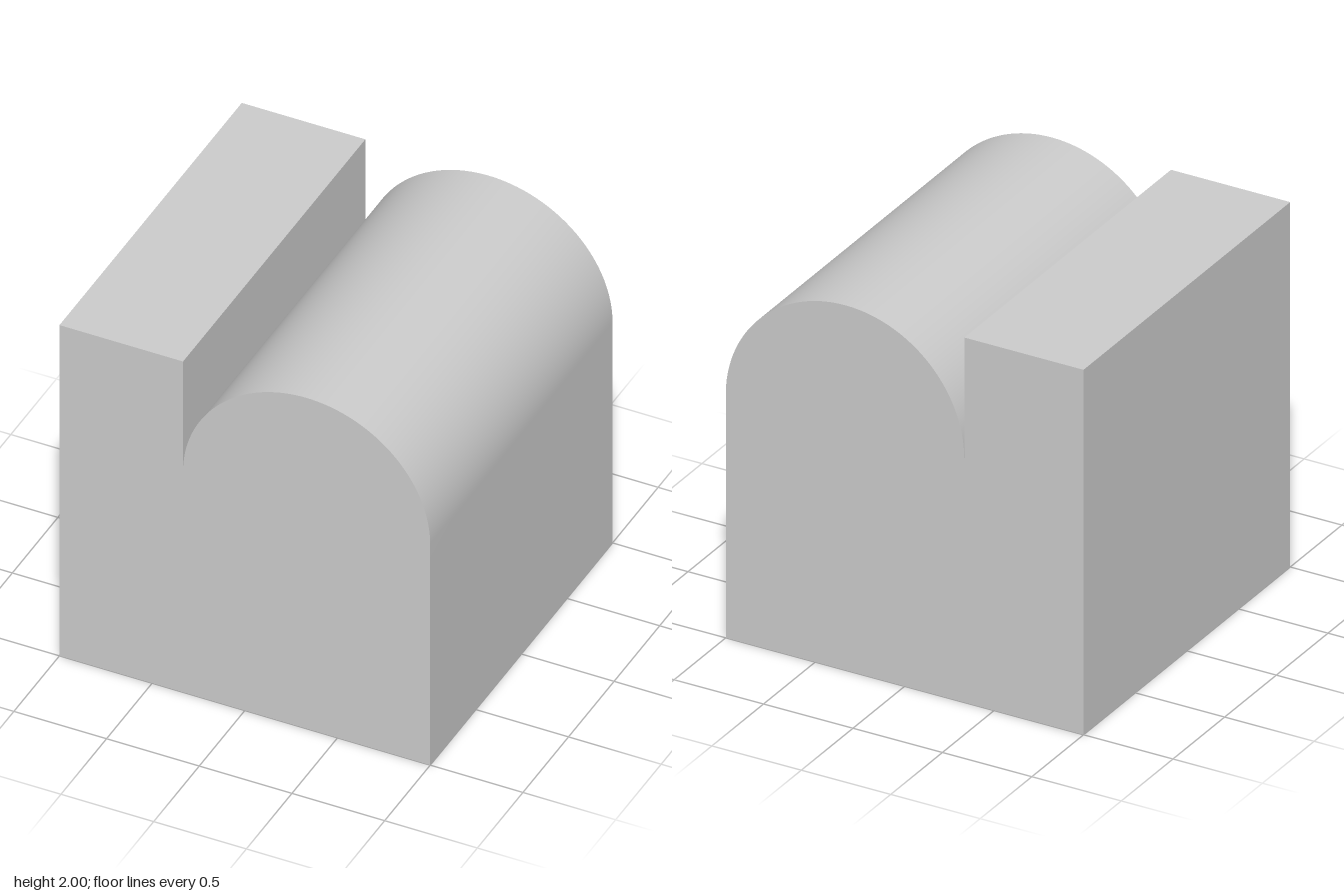
import * as THREE from 'three';
import { toCreasedNormals } from 'three/addons/utils/BufferGeometryUtils.js';

const SIZE = 2;            // edge of the enclosing cube
const RADIUS = SIZE / 3;   // radius of the rounded ridge

export function createModel() {
  const group = new THREE.Group();
  group.name = 'notchedBlock';

  // Front outline: flat base, rounded ridge on the left, square rail on the right
  const half = SIZE / 2;
  const ridgeX = half - RADIUS;
  const notchX = half - 2 * RADIUS;
  const outline = new THREE.Shape();
  outline.moveTo(-half, 0);
  outline.lineTo(half, 0);
  outline.absarc(ridgeX, SIZE - RADIUS, RADIUS, 0, Math.PI, false);
  outline.lineTo(notchX, SIZE);
  outline.lineTo(-half, SIZE);
  outline.closePath();

  // Sweep front to back, smooth on the ridge and sharp elsewhere
  const geometry = new THREE.ExtrudeGeometry(outline, {
    depth: SIZE,
    bevelEnabled: false,
    curveSegments: 48,
  });
  geometry.translate(0, 0, -half);

  const block = new THREE.Mesh(
    toCreasedNormals(geometry, Math.PI / 6),
    new THREE.MeshStandardMaterial({ color: 0xcccccc })
  );
  block.name = 'blockWithRidgeAndRail';
  group.add(block);

  return group;
}
